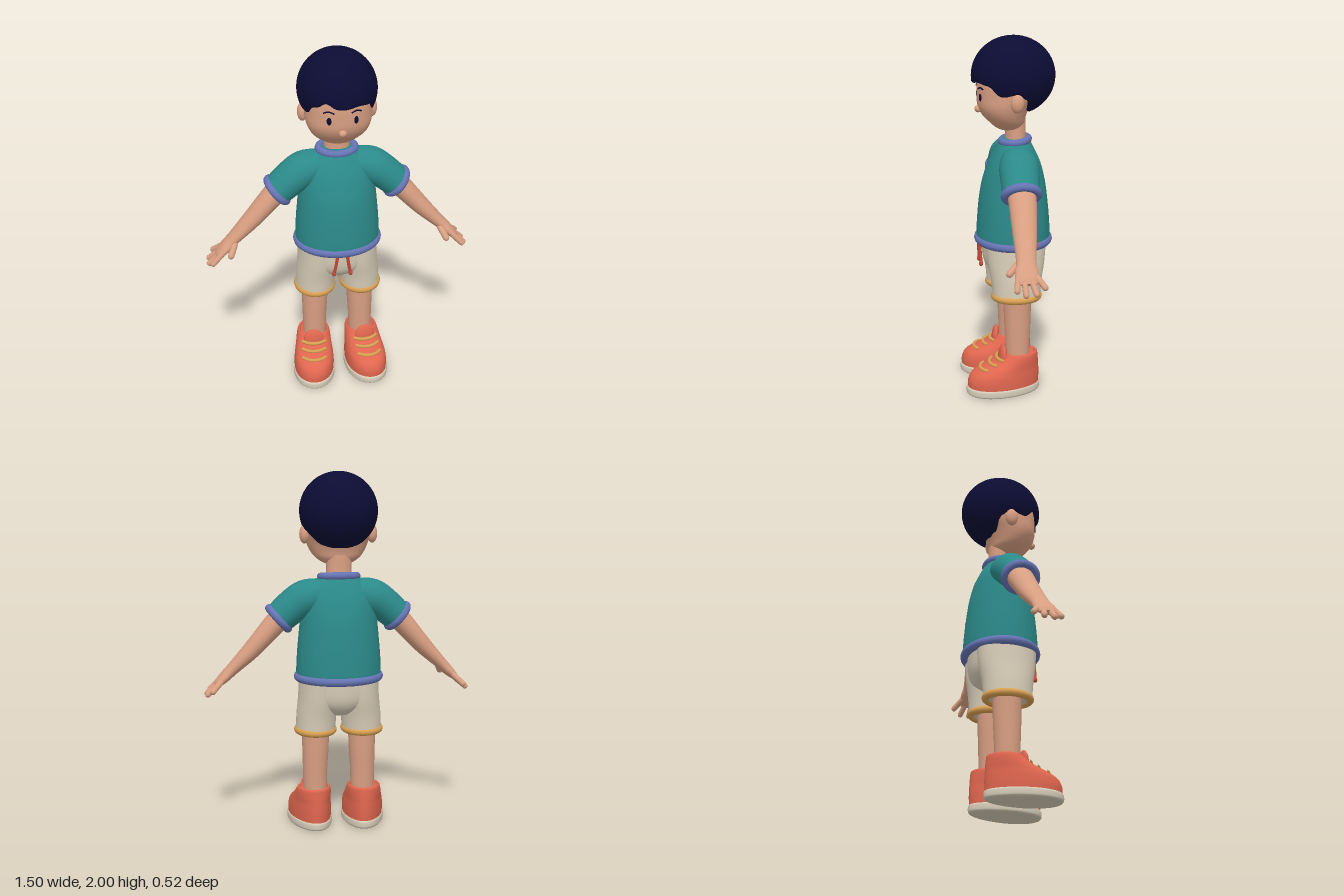
import * as THREE from 'three';

const V3 = (x, y, z) => new THREE.Vector3(x, y, z);
const paint = (name, color) => {
  const m = new THREE.MeshStandardMaterial({ color });
  m.name = name;
  return m;
};

// Closed rings of points joined into a smooth skin with flat end caps
function skin(rings) {
  const n = rings[0].length, pos = [], idx = [];
  rings.forEach(r => r.forEach(p => pos.push(p.x, p.y, p.z)));
  for (let i = 0; i < rings.length - 1; i++) {
    for (let j = 0; j < n; j++) {
      const k = (j + 1) % n, a = i * n + j, c = i * n + k;
      idx.push(a, a + n, c, a + n, c + n, c);
    }
  }
  [rings[0], rings[rings.length - 1]].forEach((ring, end) => {
    const base = pos.length / 3, mid = V3(0, 0, 0);
    ring.forEach(p => { pos.push(p.x, p.y, p.z); mid.addScaledVector(p, 1 / n); });
    pos.push(mid.x, mid.y, mid.z);
    for (let j = 0; j < n; j++) {
      const a = base + j, b = base + (j + 1) % n;
      idx.push(base + n, end ? b : a, end ? a : b);
    }
  });
  const g = new THREE.BufferGeometry();
  g.setAttribute('position', new THREE.Float32BufferAttribute(pos, 3));
  g.setIndex(idx);
  g.computeVertexNormals();
  return g;
}

// Elliptical sections [x, y, z, ru, rv] along a spline; flat keeps them level (rows go upward)
function sweep(rows, flat = false, taper = 0, n = 36) {
  const path = new THREE.CatmullRomCurve3(rows.map(r => V3(r[0], r[1], r[2])), false, 'catmullrom', 0.5);
  const size = new THREE.CatmullRomCurve3(rows.map(r => V3(r[3], r[4], 0)), false, 'catmullrom', 0.5);
  const steps = (rows.length - 1) * 4, rings = [], Z = V3(0, 0, 1);
  for (let i = 0; i <= steps; i++) {
    const t = i / steps, c = path.getPoint(t), r = size.getPoint(t);
    const T = flat ? V3(0, 1, 0) : path.getTangent(t);
    const U = T.cross(Z).normalize(), ring = [];
    for (let j = 0; j < n; j++) {
      const a = j / n * Math.PI * 2;
      ring.push(c.clone().addScaledVector(U, r.x * Math.cos(a) * (1 + taper * Math.sin(a)))
        .addScaledVector(Z, r.y * Math.sin(a)));
    }
    rings.push(ring);
  }
  return skin(rings);
}

const column = (rows, taper) => sweep(rows.map(([y, z, rx, rz]) => [0, y, z, rx, rz]), true, taper);
const tube = (pts, r) => new THREE.TubeGeometry(new THREE.CatmullRomCurve3(pts), 16, r, 8);

// Rounded elliptical band lying in the xz plane
function band(rx, rz, r) {
  const pts = [];
  for (let i = 0; i < 24; i++) {
    const a = i / 24 * Math.PI * 2;
    pts.push(V3(rx * Math.cos(a), 0, rz * Math.sin(a)));
  }
  return new THREE.TubeGeometry(new THREE.CatmullRomCurve3(pts, true), 48, r, 12, true);
}

// Ball-shaped hair with a lower edge that varies round the head
function hairGeometry() {
  const knots = [[0, 98], [25, 95], [45, 98], [65, 115], [90, 110], [105, 120], [120, 147], [150, 155], [180, 155]];
  const edge = deg => {
    const a = Math.abs(deg);
    const i = Math.max(1, knots.findIndex(k => k[0] >= a));
    const [p, q] = [knots[i - 1], knots[i]];
    const notch = 7 * Math.exp(-(((deg + 25) / 9) ** 2));
    return THREE.MathUtils.lerp(p[1], q[1], THREE.MathUtils.smoothstep(a, p[0], q[0])) - notch;
  };
  const rings = [], n = 72;
  const addRing = (thetaOf, scale) => {
    const ring = [];
    for (let j = 0; j < n; j++) {
      const deg = j * 360 / n - 180, phi = THREE.MathUtils.degToRad(deg);
      const th = THREE.MathUtils.degToRad(thetaOf(edge(deg)));
      ring.push(V3(0.215 * scale * Math.sin(th) * Math.sin(phi), 1.785 + 0.215 * scale * Math.cos(th),
        -0.03 + 0.23 * scale * Math.sin(th) * Math.cos(phi)));
    }
    rings.push(ring);
  };
  for (let i = 0; i <= 24; i++) addRing(e => 1 + (e - 1) * i / 24, 1);
  addRing(e => e + 2, 0.97);
  addRing(e => e + 1, 0.91);
  addRing(e => e - 5, 0.83);
  return skin(rings);
}

export function createModel() {
  const root = new THREE.Group();
  root.name = 'boy';
  const skinTone = paint('skin', 0xd99f82), hairNavy = paint('hair navy', 0x0c0c34);
  const teal = paint('shirt teal', 0x2c8a8a), blue = paint('trim blue', 0x6674b4);
  const cream = paint('shorts cream', 0xd8cdb8), ochre = paint('hem ochre', 0xd9a052);
  const coral = paint('shoe coral', 0xe0664f), ivory = paint('sole ivory', 0xd6ccb8);
  const red = paint('cord red', 0xc84a36);

  const add = (name, geo, mat, parent = root) => {
    const m = new THREE.Mesh(geo, mat);
    m.name = name;
    parent.add(m);
    return m;
  };
  const ball = (name, mat, p, s, parent) => {
    const m = add(name, new THREE.SphereGeometry(1, 24, 16), mat, parent);
    m.position.set(...p);
    m.scale.set(...s);
    return m;
  };
  const capsule = (name, a, b, r) => {
    const d = b.clone().sub(a);
    const m = add(name, new THREE.CapsuleGeometry(r, d.length(), 6, 12), skinTone);
    m.position.copy(a).addScaledVector(d, 0.5);
    m.quaternion.setFromUnitVectors(V3(0, 1, 0), d.normalize());
  };

  // Head, neck and hair
  add('head', column([[1.485, 0, 0.03, 0.03], [1.5, 0, 0.08, 0.065], [1.53, 0.005, 0.125, 0.095],
    [1.57, 0.02, 0.155, 0.12], [1.62, 0.0225, 0.175, 0.1425], [1.68, 0.005, 0.183, 0.165],
    [1.76, -0.005, 0.183, 0.172], [1.85, -0.015, 0.16, 0.155], [1.92, -0.02, 0.09, 0.09]]), skinTone);
  add('neck', column([[1.4, -0.045, 0.075, 0.06], [1.46, -0.043, 0.07, 0.057], [1.55, -0.04, 0.07, 0.058]]), skinTone);
  ball('nose', skinTone, [0, 1.605, 0.163], [0.022, 0.02, 0.02]);
  add('hair', hairGeometry(), hairNavy);

  // Shirt body
  add('shirt', column([[0.855, -0.03, 0.235, 0.203], [0.9, -0.03, 0.238, 0.206], [1, -0.03, 0.233, 0.2],
    [1.1, -0.03, 0.224, 0.19], [1.2, -0.032, 0.214, 0.174], [1.3, -0.036, 0.2, 0.145],
    [1.36, -0.038, 0.172, 0.117], [1.41, -0.04, 0.125, 0.09], [1.44, -0.042, 0.09, 0.07]]), teal);
  add('shirtHem', band(0.226, 0.194, 0.025), blue).position.set(0, 0.868, -0.03);
  const collar = add('collar', band(0.1, 0.073, 0.021), blue);
  collar.position.set(0, 1.428, -0.04);
  collar.rotation.x = 0.12;

  // Shorts
  add('shortsHips', column([[0.66, -0.03, 0.07, 0.1], [0.7, -0.03, 0.16, 0.145], [0.76, -0.03, 0.212, 0.172],
    [0.87, -0.03, 0.222, 0.18]]), cream);

  for (const s of [-1, 1]) {
    const side = s > 0 ? 'left' : 'right';
    const faceZ = x => 0.005 + 0.168 * Math.sqrt(1 - (x / 0.184) ** 2);

    // Face details
    ball(side + 'Ear', skinTone, [s * 0.188, 1.66, -0.025], [0.028, 0.052, 0.036]);
    ball(side + 'Eye', hairNavy, [s * 0.072, 1.678, faceZ(0.072)], [0.013, 0.021, 0.004]).rotation.y = s * 0.4;
    add(side + 'Brow', tube([[0.045, 1.722], [0.075, 1.732], [0.1, 1.722]]
      .map(([x, y]) => V3(s * x, y, faceZ(x))), 0.004), hairNavy);

    // Sleeve and cuff
    add(side + 'Sleeve', sweep([[0.09, 1.335, -0.037, 0.085, 0.09], [0.18, 1.312, -0.035, 0.1, 0.108],
      [0.25, 1.27, -0.03, 0.096, 0.106], [0.337, 1.195, -0.025, 0.088, 0.1]]
      .map(([x, ...r]) => [s * x, ...r])), teal);
    const cuff = add(side + 'Cuff', band(0.076, 0.088, 0.023), blue);
    cuff.position.set(s * 0.334, 1.198, -0.025);
    cuff.rotation.z = s * 0.85;

    // Arm, palm, fingers and thumb
    add(side + 'Arm', sweep([[0.28, 1.25, -0.028, 0.066, 0.08], [0.36, 1.165, -0.027, 0.061, 0.075],
      [0.48, 1.03, -0.02, 0.05, 0.065], [0.59, 0.92, -0.01, 0.035, 0.053], [0.635, 0.875, -0.005, 0.03, 0.061],
      [0.67, 0.842, -0.004, 0.022, 0.06], [0.69, 0.823, -0.004, 0.012, 0.048]]
      .map(([x, ...r]) => [s * x, ...r])), skinTone);
    [[-0.048, -0.09, 0.705, 0.808], [-0.018, -0.042, 0.73, 0.784], [0.013, 0.012, 0.732, 0.782],
      [0.041, 0.055, 0.712, 0.8]].forEach(([z0, z1, x, y], i) =>
      capsule(side + 'Finger' + (i + 1), V3(s * 0.65, 0.861, z0), V3(s * x, y, z1), 0.016));
    capsule(side + 'Thumb', V3(s * 0.585, 0.905, 0.03), V3(s * 0.612, 0.858, 0.08), 0.018);

    // Shorts leg, hem and cord
    add(side + 'ShortsLeg', sweep([[s * 0.132, 0.555, -0.03, 0.11, 0.133], [s * 0.126, 0.65, -0.03, 0.112, 0.141],
      [s * 0.116, 0.75, -0.03, 0.112, 0.158], [s * 0.11, 0.86, -0.03, 0.112, 0.168]], true), cream);
    add(side + 'ShortsHem', band(0.099, 0.122, 0.021), ochre).position.set(s * 0.132, 0.564, -0.03);
    add(side + 'Cord', tube([V3(s * 0.025, 0.87, 0.165), V3(s * 0.034, 0.8, 0.161), V3(s * 0.046, 0.735, 0.158)], 0.009), red);
    ball(side + 'CordEnd', red, [s * 0.047, 0.733, 0.158], [0.012, 0.016, 0.012]);

    // Leg
    add(side + 'Leg', sweep([[s * 0.135, 0.12, -0.035, 0.066, 0.066], [s * 0.136, 0.3, -0.035, 0.068, 0.07],
      [s * 0.133, 0.45, -0.035, 0.074, 0.076], [s * 0.132, 0.62, -0.035, 0.08, 0.078]], true), skinTone);

    // Shoe, turned slightly outward: rows are height, front, back, half width
    const shoe = new THREE.Group();
    shoe.name = side + 'Shoe';
    shoe.position.x = s * 0.147;
    shoe.rotation.y = s * 0.11;
    root.add(shoe);
    const foot = rows => column(rows.map(([y, f, b, w]) => [y, (f + b) / 2, w, (f - b) / 2]), 0.12);
    add(side + 'Sole', foot([[0, 0.252, -0.154, 0.115], [0.01, 0.26, -0.162, 0.121],
      [0.036, 0.26, -0.162, 0.121], [0.045, 0.254, -0.157, 0.117]]), ivory, shoe);
    add(side + 'Upper', foot([[0.035, 0.252, -0.156, 0.115], [0.08, 0.252, -0.158, 0.116],
      [0.12, 0.233, -0.158, 0.113], [0.15, 0.185, -0.156, 0.107], [0.18, 0.12, -0.154, 0.102],
      [0.21, 0.072, -0.151, 0.097], [0.23, 0.052, -0.148, 0.091], [0.236, 0.042, -0.138, 0.082],
      [0.225, 0.034, -0.13, 0.074]]), coral, shoe);
    ball(side + 'Tongue', coral, [0, 0.215, 0.052], [0.058, 0.062, 0.022], shoe).rotation.x = -0.1;
    [[0.203, 0.083, 0.098], [0.178, 0.125, 0.102], [0.153, 0.178, 0.106]].forEach(([y, f, w], i) => {
      const cz = (f - 0.155) / 2, rz = (f + 0.155) / 2;
      const pts = [-0.068, -0.035, 0, 0.035, 0.068].map(x =>
        V3(x, y, cz + rz * Math.sqrt(1 - (x / (w * 1.1)) ** 2) + 0.003));
      add(side + 'Lace' + (i + 1), tube(pts, 0.01), ochre, shoe);
    });
  }
  return root;
}
